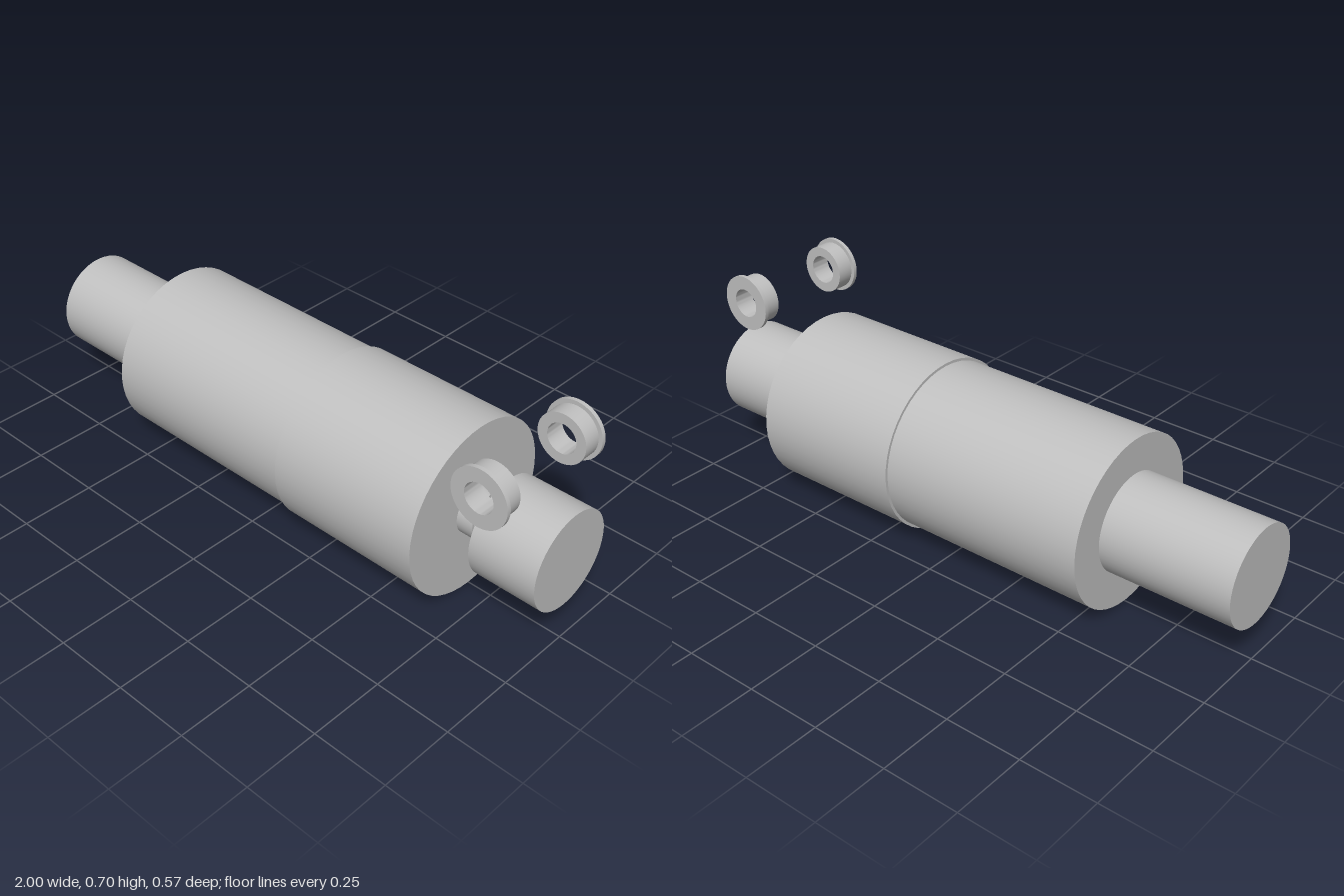
import * as THREE from 'three';
import { toCreasedNormals } from 'three/addons/utils/BufferGeometryUtils.js';

const AXIS_Y = 0.286;

export function createModel() {
  const model = new THREE.Group();
  model.name = 'rollerAssembly';
  const metal = new THREE.MeshStandardMaterial({ color: 0xbfbfbf });
  metal.name = 'grey metal';

  // Coaxial round sections along x: name, start, end, radius
  const sections = [
    ['rearShaft', -1, -0.567, 0.16],
    ['mainBody', -0.567, 0.141, 0.277],
    ['frontSleeve', 0.141, 0.666, 0.286],
    ['collar', 0.666, 0.722, 0.08],
    ['neck', 0.722, 0.773, 0.046],
    ['endKnob', 0.773, 1, 0.16],
  ];
  for (const [name, x0, x1, radius] of sections) {
    const geometry = new THREE.CylinderGeometry(radius, radius, x1 - x0, 48);
    geometry.rotateZ(-Math.PI / 2);
    const mesh = new THREE.Mesh(geometry, metal);
    mesh.name = name;
    mesh.position.set((x0 + x1) / 2, AXIS_Y, 0);
    model.add(mesh);
  }

  // Flanged bushing with an open bore; flange at its outer (+z) end
  const profile = [
    [0.048, 0], [0.08, 0], [0.08, 0.057], [0.093, 0.057],
    [0.093, 0.07], [0.048, 0.07], [0.048, 0],
  ].map(([r, h]) => new THREE.Vector2(r, h));
  const bushing = toCreasedNormals(new THREE.LatheGeometry(profile, 48), 0.6);
  bushing.rotateX(Math.PI / 2);

  const addBushing = (name, z, turn) => {
    const mesh = new THREE.Mesh(bushing, metal);
    mesh.name = name;
    mesh.position.set(0.884, 0.607, z);
    mesh.rotation.y = turn;
    model.add(mesh);
  };
  addBushing('frontBushing', 0.217, 0);
  addBushing('backBushing', -0.07, Math.PI);

  return model;
}
